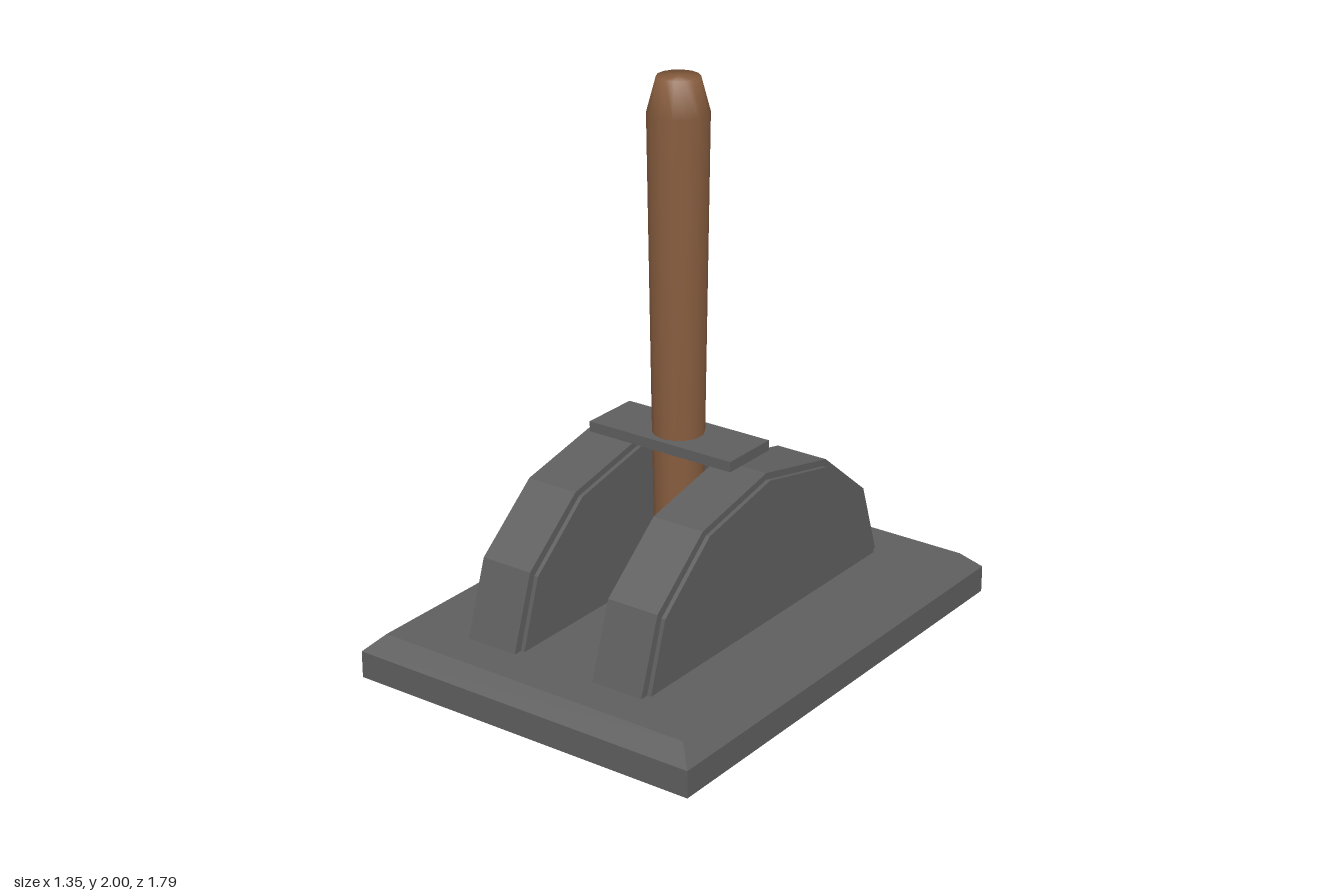
import * as THREE from 'three';

const gray = new THREE.MeshStandardMaterial({ name: 'dark gray metal', color: 0x5e5e5e, side: THREE.DoubleSide });
const brown = new THREE.MeshStandardMaterial({ name: 'brown wood', color: 0x865c3e, side: THREE.DoubleSide });
const CENTER = -0.0125; // the handle and fins sit slightly off the base centre

function addMesh(parent, name, geometry, material, x = 0, y = 0, z = 0) {
  const mesh = new THREE.Mesh(geometry, material);
  mesh.name = name;
  mesh.position.set(x, y, z);
  parent.add(mesh);
  return mesh;
}

// Open-bottomed shell through rectangular rings [halfX, y, halfZ]
function rectangleShell(rings) {
  const corners = [[1, 1], [1, -1], [-1, -1], [-1, 1]];
  const positions = [];
  const point = ([hx, y, hz], k) => [corners[k % 4][0] * hx, y, corners[k % 4][1] * hz];
  for (let i = 0; i < rings.length - 1; i++) {
    for (let k = 0; k < 4; k++) {
      const a = point(rings[i], k), b = point(rings[i], k + 1);
      const c = point(rings[i + 1], k + 1), d = point(rings[i + 1], k);
      positions.push(...a, ...b, ...c);
      if (rings[i + 1][0] > 0) positions.push(...a, ...c, ...d);
    }
  }
  const geometry = new THREE.BufferGeometry();
  geometry.setAttribute('position', new THREE.Float32BufferAttribute(positions, 3));
  geometry.computeVertexNormals();
  return geometry;
}

// Faceted arch [z, y], mirrored front to back and extruded along x
function archSlab(half, width) {
  const mirrored = half.slice(0, -1).reverse().map(([z, y]) => [-z, y]);
  const shape = new THREE.Shape([...half, ...mirrored].map(([z, y]) => new THREE.Vector2(z, y)));
  const geometry = new THREE.ExtrudeGeometry(shape, { depth: width, bevelEnabled: false });
  geometry.translate(0, 0, -width / 2);
  geometry.rotateY(Math.PI / 2);
  return geometry;
}

export function createModel() {
  const model = new THREE.Group();
  model.name = 'leverOnBase';

  // Hollow base with a chamfered upper edge
  addMesh(model, 'base', rectangleShell([
    [0.675, 0, 0.895], [0.675, 0.097, 0.895], [0.615, 0.155, 0.835], [0, 0.155, 0],
  ]), gray);

  // Two arched fins: a wide core and a narrower raised rim
  const rim = [[0.7, 0.142], [0.607, 0.42], [0.36, 0.62], [0, 0.697]];
  const core = [[0.668, 0.142], [0.585, 0.4], [0.342, 0.6], [0, 0.673]];
  for (const [name, side] of [['leftFin', 1], ['rightFin', -1]]) {
    const fin = new THREE.Group();
    fin.name = name;
    fin.position.x = CENTER + side * 0.261;
    addMesh(fin, 'finCore', archSlab(core, 0.228), gray);
    addMesh(fin, 'finRim', archSlab(rim, 0.198), gray);
    model.add(fin);
  }

  // Cross plate around the handle
  addMesh(model, 'crossPlate', new THREE.BoxGeometry(0.585, 0.037, 0.225), gray, CENTER, 0.741, 0);

  // Tapered handle with a chamfered tip
  const profile = [[0.08, 0.142], [0.09, 0.76], [0.105, 1.88], [0.073, 2], [0, 2]]
    .map(([r, y]) => new THREE.Vector2(r, y));
  addMesh(model, 'handle', new THREE.LatheGeometry(profile, 14), brown, CENTER, 0, 0);

  return model;
}
